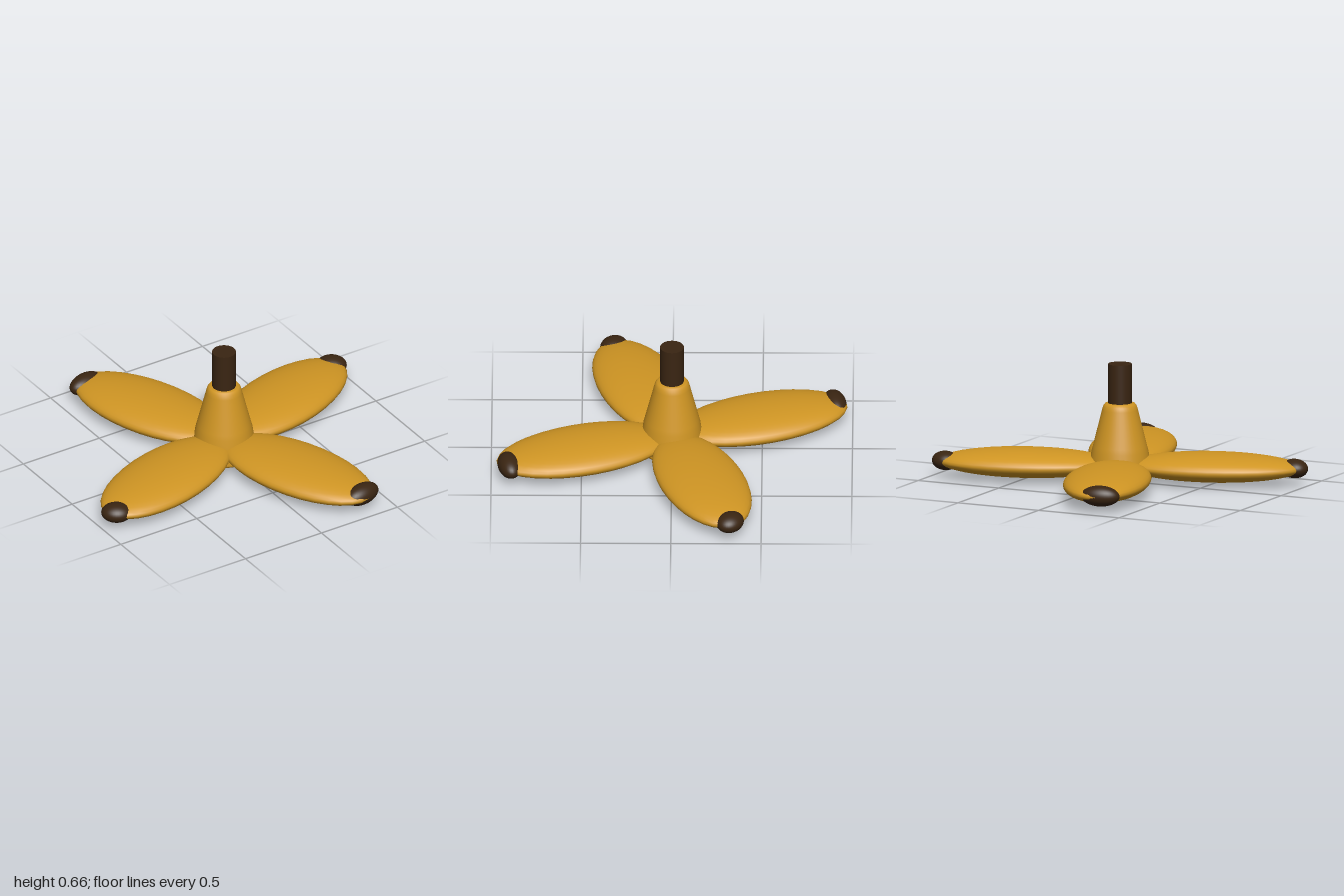
import * as THREE from 'three';

const gold = new THREE.MeshStandardMaterial({ name: 'gold', color: 0xcf9523 });
const darkBrown = new THREE.MeshStandardMaterial({ name: 'darkBrown', color: 0x3a2512 });

const BLADE_Y = 0.092;
const SWEEP = THREE.MathUtils.degToRad(19);

function ellipsoid(name, material, [x, y, z], [rx, ry, rz], turn) {
  const mesh = new THREE.Mesh(new THREE.SphereGeometry(1, 32, 20), material);
  mesh.name = name;
  mesh.scale.set(rx, ry, rz);
  mesh.position.set(x, y, z);
  mesh.rotation.y = turn;
  return mesh;
}

export function createModel() {
  const model = new THREE.Group();
  model.name = 'propeller';

  // Tapered hub with softened rims
  const profile = [
    [0, 0], [0.15, 0], [0.172, 0.006], [0.178, 0.02], [0.172, 0.08], [0.158, 0.17], [0.15, 0.2],
    [0.1, 0.4], [0.094, 0.422], [0.084, 0.436], [0.068, 0.44], [0, 0.44],
  ].map(([r, y]) => new THREE.Vector2(r, y));
  const hub = new THREE.Mesh(new THREE.LatheGeometry(profile, 40), gold);
  hub.name = 'hub';
  model.add(hub);

  // Drive shaft
  const shaft = new THREE.Mesh(new THREE.CylinderGeometry(0.066, 0.066, 0.24, 32), darkBrown);
  shaft.name = 'shaft';
  shaft.position.y = 0.54;
  model.add(shaft);

  // Four flat oval blades
  for (let i = 0; i < 4; i++) {
    const turn = SWEEP + i * Math.PI / 2;
    const r = 0.52;
    model.add(ellipsoid('blade', gold,
      [r * Math.cos(turn), BLADE_Y, -r * Math.sin(turn)], [0.5, 0.078, 0.238], turn));
  }

  // Dark tips: rounder on the side blades, wider on the front and back ones
  for (const s of [1, -1]) {
    model.add(ellipsoid('sideTip', darkBrown,
      [0.918 * s, BLADE_Y, -0.328 * s], [0.085, 0.053, 0.072], -0.6));
    model.add(ellipsoid('endTip', darkBrown,
      [0.332 * s, BLADE_Y, 0.9 * s], [0.11, 0.058, 0.063], 0.2));
  }
  return model;
}
